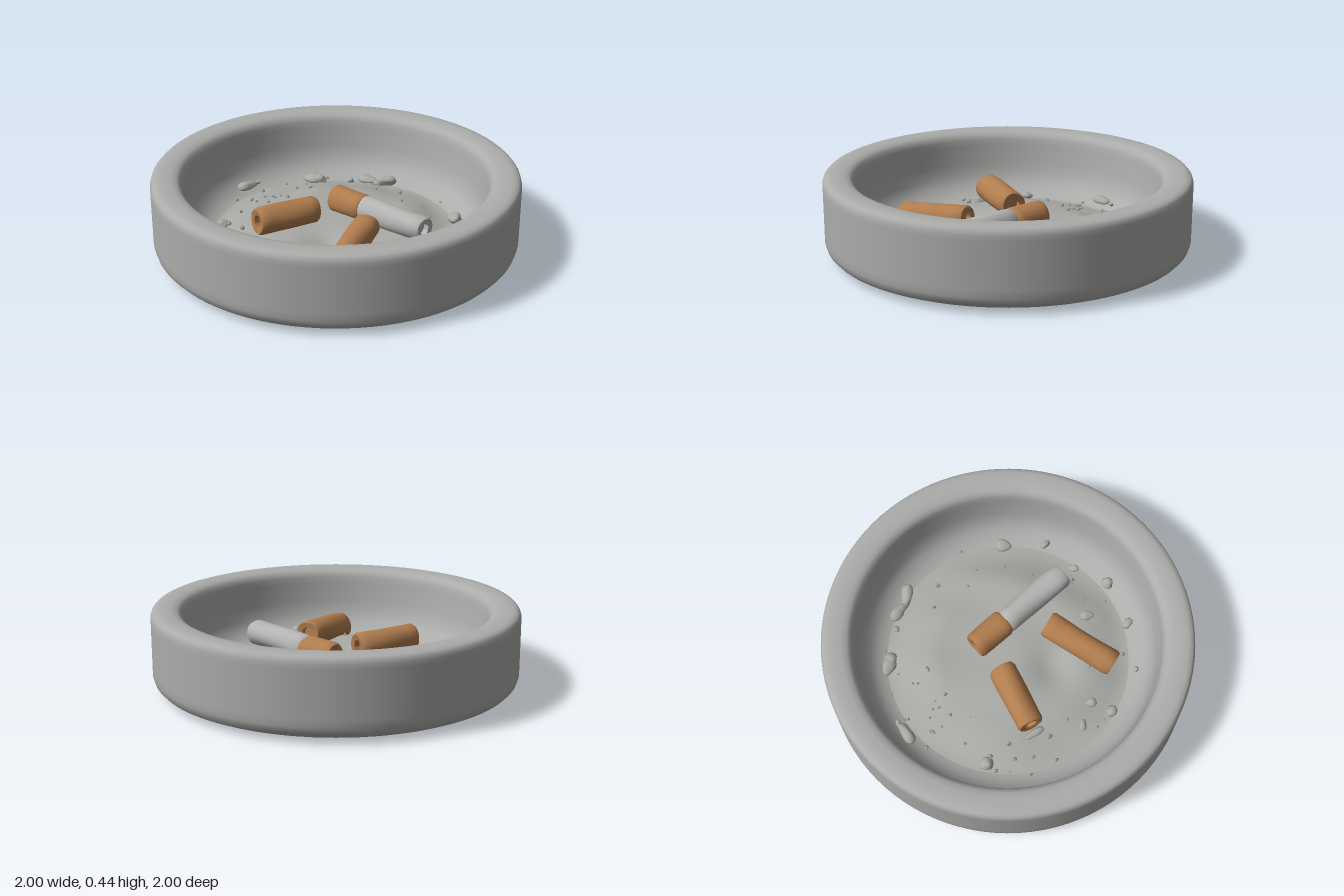
import * as THREE from 'three';
import { mergeVertices, toCreasedNormals } from 'three/addons/utils/BufferGeometryUtils.js';

const mat = (name, color) => new THREE.MeshStandardMaterial({ name, color });

// Height of the ash bed: a low lumpy mound with a shallow dip between the butts
function ashHeight(x, z) {
  const r = Math.hypot(x, z);
  const mound = 0.065 * (1 - THREE.MathUtils.smoothstep(r, 0.38, 0.68));
  const dip = 0.045 * Math.exp(-((x - 0.16) ** 2 + (z - 0.2) ** 2) / 0.012);
  const lumps = 0.007 * Math.sin(9 * x + 2) * Math.sin(8 * z + 1) + 0.004 * Math.sin(17 * x - 11 * z);
  return 0.077 + mound - dip + lumps * (1 - THREE.MathUtils.smoothstep(r, 0.55, 0.7));
}

// Move every vertex by a rule
function deform(geo, rule) {
  const p = geo.attributes.position;
  const v = new THREE.Vector3();
  for (let i = 0; i < p.count; i++) {
    rule(v.fromBufferAttribute(p, i));
    p.setXYZ(i, v.x, v.y, v.z);
  }
  return geo;
}

// Slightly crushed roll between two points, with a recessed hole in each end
function roll(name, from, to, radius, material) {
  const a = new THREE.Vector3(...from), b = new THREE.Vector3(...to);
  const h = a.distanceTo(b) / 2, hole = radius * 0.48;
  const half = [[0, h - 0.035], [hole, h - 0.035], [hole, h - 0.005], [radius * 0.88, h], [radius, h - 0.015]];
  const profile = half.map(([r, y]) => new THREE.Vector2(r, -y));
  for (let i = 1; i < 8; i++) profile.push(new THREE.Vector2(radius, (h - 0.015) * (i / 4 - 1)));
  half.reverse().forEach(([r, y]) => profile.push(new THREE.Vector2(r, y)));

  const geo = deform(new THREE.LatheGeometry(profile, 28), (v) => {
    const t = Math.atan2(v.z, v.x);
    const k = 1 + 0.035 * Math.sin(3 * t + 9 * v.y) + 0.025 * Math.sin(2 * t - 14 * v.y);
    v.x *= k;
    v.z *= k;
  });
  const mesh = new THREE.Mesh(toCreasedNormals(geo, 0.7), material);
  mesh.name = name;
  mesh.position.addVectors(a, b).multiplyScalar(0.5);
  mesh.quaternion.setFromUnitVectors(new THREE.Vector3(0, 1, 0), b.sub(a).normalize());
  return mesh;
}

// Rounded irregular lump of ash
function lumpGeometry(seed) {
  const geo = new THREE.IcosahedronGeometry(1, 2);
  geo.deleteAttribute('uv');
  geo.deleteAttribute('normal');
  const lump = deform(mergeVertices(geo), (v) => {
    v.multiplyScalar(1 + 0.16 * Math.sin(3 * v.x + seed) + 0.14 * Math.sin(4 * v.y + 2 * v.z + seed * 2));
  });
  lump.computeVertexNormals();
  return lump;
}

export function createModel() {
  const group = new THREE.Group();
  const stone = mat('stone grey', 0xacacaa);
  const ash = mat('ash grey', 0xa9a9a6);
  const paper = mat('paper grey', 0xb3b3b2);
  const filter = mat('filter brown', 0xb07c4e);

  // Round dish with soft edges and a thick rim
  const profile = [
    [0, 0], [0.5, 0.003], [0.84, 0.008], [0.9, 0.014], [0.94, 0.022], [0.97, 0.036], [0.99, 0.058], [1, 0.09],
    [1, 0.13], [1, 0.38], [1, 0.405], [0.994, 0.425], [0.982, 0.438], [0.96, 0.444], [0.93, 0.445],
    [0.89, 0.443], [0.86, 0.436], [0.84, 0.42], [0.83, 0.395], [0.826, 0.36], [0.812, 0.25], [0.795, 0.185],
    [0.765, 0.135], [0.72, 0.1], [0.67, 0.075], [0.6, 0.062], [0, 0.06],
  ].map(([x, y]) => new THREE.Vector2(x, y));
  const dish = new THREE.Mesh(new THREE.LatheGeometry(profile, 96), stone);
  dish.name = 'dish';
  group.add(dish);

  // Uneven layer of ash covering the floor
  const rings = Array.from({ length: 33 }, (_, i) => new THREE.Vector2(0.71 * (1 - i / 32), 0));
  const bedGeo = deform(new THREE.LatheGeometry(rings, 72), (v) => { v.y = ashHeight(v.x, v.z); });
  bedGeo.computeVertexNormals();
  const bed = new THREE.Mesh(bedGeo, ash);
  bed.name = 'ashBed';
  group.add(bed);

  // Long stub: filter end and remaining paper
  const stub = new THREE.Group();
  stub.name = 'longStub';
  stub.add(
    roll('stubFilter', [-0.135, 0.195, -0.125], [0.085, 0.2, -0.138], 0.075, filter),
    roll('stubPaper', [0.08, 0.2, -0.138], [0.51, 0.21, -0.165], 0.07, paper),
  );
  group.add(stub);

  // Two short filter butts
  group.add(
    roll('leftButt', [-0.095, 0.205, 0.07], [-0.17, 0.215, 0.425], 0.075, filter),
    roll('rightButt', [0.26, 0.215, 0.015], [0.42, 0.16, 0.41], 0.073, filter),
  );

  // Ash lumps: x, z, half length, half width, turn
  const lumps = [
    [-0.57, -0.35, 0.05, 0.035, 0.6], [-0.53, -0.38, 0.045, 0.03, 0.2], [-0.33, -0.585, 0.055, 0.03, 0.3],
    [-0.23, -0.64, 0.055, 0.035, 0.9], [-0.28, -0.6, 0.05, 0.02, 0.5], [-0.4, -0.51, 0.02, 0.018, 0],
    [-0.715, 0.03, 0.055, 0.032, 1.5], [-0.72, -0.04, 0.025, 0.012, 1.3], [-0.47, 0.425, 0.04, 0.03, -0.2],
    [0.39, -0.55, 0.05, 0.035, -0.8], [0.58, -0.405, 0.025, 0.02, 0], [0.62, -0.2, 0.03, 0.02, -0.7],
    [0.71, 0, 0.04, 0.028, 1.4], [0.49, 0.09, 0.035, 0.025, -0.5], [0.65, 0.26, 0.03, 0.025, 0.4],
    [0.19, 0.5, 0.03, 0.022, -0.3], [0.26, 0.6, 0.04, 0.026, 0.6], [0.08, 0.57, 0.028, 0.02, 0.9],
    [-0.17, 0.45, 0.06, 0.022, -0.1], [0.51, 0.5, 0.018, 0.013, 0.5],
  ];
  const lumpGroup = new THREE.Group();
  lumpGroup.name = 'ashLumps';
  lumps.forEach(([x, z, a, b, turn], i) => {
    const lump = new THREE.Mesh(lumpGeometry(i * 1.7), ash);
    lump.name = 'ashLump';
    const rise = Math.max(0, Math.hypot(x, z) - 0.67) * 0.7;
    lump.position.set(x, ashHeight(x, z) + rise + b * 0.5, z);
    lump.scale.set(a, b * 0.85, b);
    lump.rotation.y = turn;
    lumpGroup.add(lump);
  });
  group.add(lumpGroup);

  // Small crumbs scattered mostly around the edge of the mound
  let seed = 11;
  const random = () => (seed = (seed * 16807) % 2147483647) / 2147483647;
  const crumbGeo = new THREE.TetrahedronGeometry(1, 1);
  const crumbs = new THREE.Group();
  crumbs.name = 'crumbs';
  for (let i = 0; i < 46; i++) {
    const t = random() * Math.PI * 2, r = 0.42 + 0.28 * random();
    const x = r * Math.cos(t), z = r * Math.sin(t), s = 0.006 + 0.008 * random();
    const crumb = new THREE.Mesh(crumbGeo, ash);
    crumb.name = 'crumb';
    crumb.position.set(x, ashHeight(x, z) + s * 0.6, z);
    crumb.scale.set(s * (1 + random()), s, s);
    crumb.rotation.set(random(), random() * 6, random());
    crumbs.add(crumb);
  }
  group.add(crumbs);
  return group;
}
